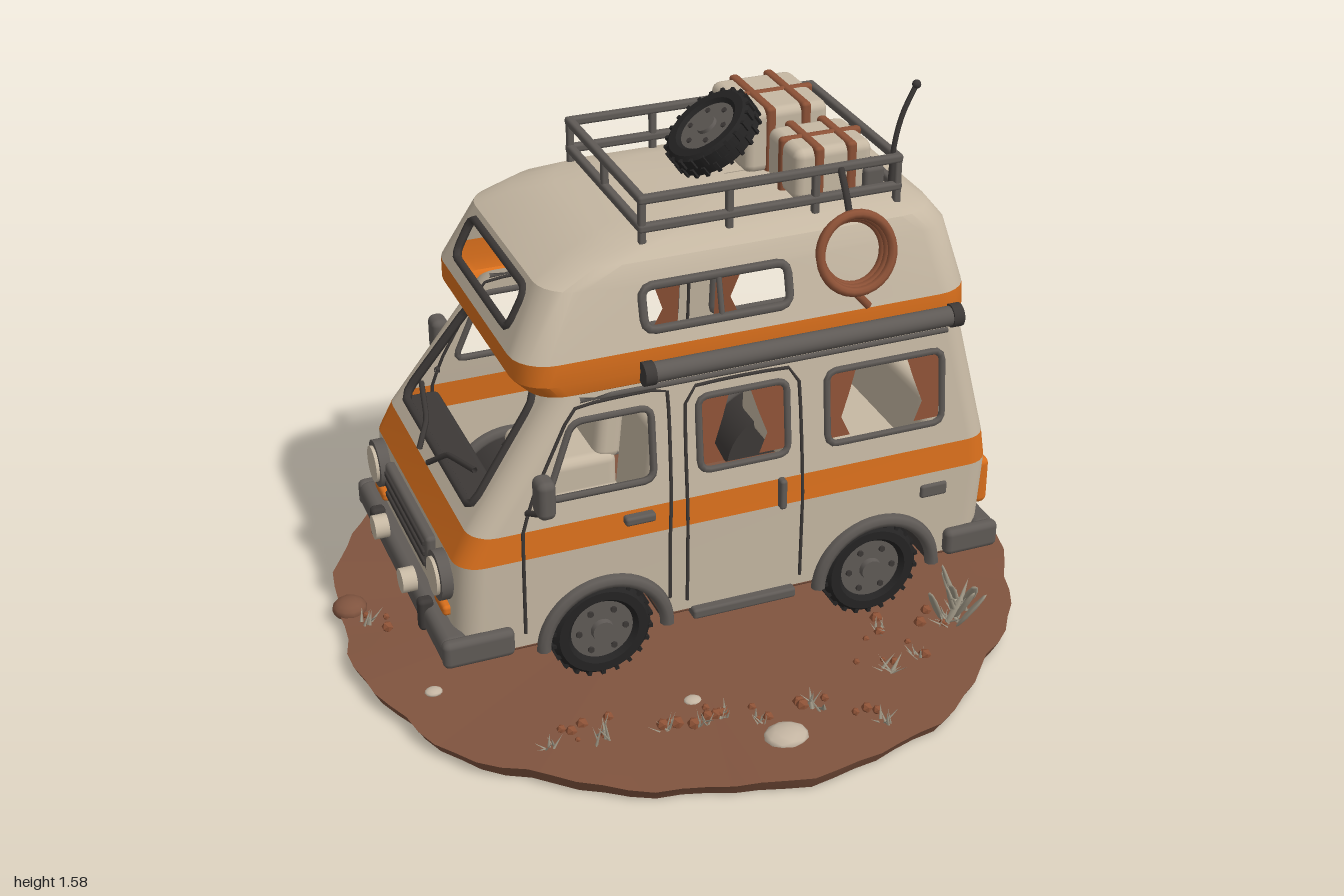
import * as THREE from 'three';
import { mergeGeometries, mergeVertices, toCreasedNormals } from 'three/addons/utils/BufferGeometryUtils.js';
import { RoundedBoxGeometry } from 'three/addons/geometries/RoundedBoxGeometry.js';

const mat = (name, color) => new THREE.MeshStandardMaterial({ name, color, side: THREE.DoubleSide });
const cream = mat('cream paint', 0xc6b8a3), orange = mat('orange paint', 0xd96f1c), trim = mat('grey trim', 0x5f5a56),
  rubber = mat('black rubber', 0x242323), soil = mat('soil', 0x80543f), leather = mat('brown cloth', 0x8c5136),
  plant = mat('dry plant', 0xa39b89), stone = mat('pale stone', 0xc4b5a2), dark = mat('dark metal', 0x3d3937);
const V = (x, y, z) => new THREE.Vector3(x, y, z);
let seed = 7;
const rnd = () => (seed = (seed * 16807) % 2147483647) / 2147483647;

// Plan outline by height: [y, frontX, backX, halfWidth, cornerRadius]
const BODY = [[.22, -.76, .77, .415, .07], [.49, -.748, .785, .42, .07], [.57, -.708, .775, .415, .07], [.92, -.455, .7, .378, .07]];
const ROOF = [[.92, -.455, .7, .378, .07], [.925, -.52, .705, .385, .09], [.96, -.555, .712, .392, .1], [1.02, -.556, .71, .388, .1],
  [1.19, -.47, .668, .343, .1], [1.235, -.38, .635, .325, .12], [1.262, -.27, .585, .285, .13], [1.277, -.12, .51, .21, .13],
  [1.282, .15, .25, .002, .001]];

function place(P, face, u, y, off = 0) {
  let i = 0;
  while (i < P.length - 2 && y > P[i + 1][0]) i++;
  const t = (y - P[i][0]) / (P[i + 1][0] - P[i][0]);
  const [, f, b, w] = P[i].map((v, k) => v + (P[i + 1][k] - v) * t);
  return { left: V(u, y, w + off), right: V(u, y, -w - off), front: V(f - off, y, u), back: V(b + off, y, u) }[face];
}
function bare(points, index) {
  const g = new THREE.BufferGeometry().setFromPoints(points);
  g.setIndex(index);
  return g;
}
// Flat outline with holes laid onto one face of the shell
function panel(P, face, outline, holes = [], off = 0) {
  const toV2 = a => a.map(p => new THREE.Vector2(p[0], p[1]));
  const s = new THREE.Shape(toV2(outline));
  holes.forEach(h => s.holes.push(new THREE.Path(toV2(h))));
  const g = new THREE.ShapeGeometry(s), a = g.attributes.position, idx = [...g.index.array];
  if (face === 'right' || face === 'back') idx.reverse();
  return bare(Array.from({ length: a.count }, (_, i) => place(P, face, a.getX(i), a.getY(i), off)), idx);
}
// One belt of the shell: four panels and four rounded corners
function band(P, i, holes = {}, arches = []) {
  const [y0, f0, b0, w0, r0] = P[i], [y1, f1, b1, w1, r1] = P[i + 1], out = [], Q = [P[i], P[i + 1]];
  for (const face of ['left', 'right'])
    out.push(panel(Q, face, [[f0 + r0, y0], ...arches, [b0 - r0, y0], [b1 - r1, y1], [f1 + r1, y1]], holes.side));
  for (const face of ['front', 'back'])
    out.push(panel(Q, face, [[r0 - w0, y0], [w0 - r0, y0], [w1 - r1, y1], [r1 - w1, y1]], holes[face]));
  for (const sx of [1, -1]) for (const sz of [1, -1]) {
    const pts = [], idx = [], n = 6, start = sx > 0 ? (sz > 0 ? 0 : 1.5) : (sz > 0 ? .5 : 1);
    for (let k = 0; k <= n; k++) {
      const a = (start + k / n / 2) * Math.PI;
      for (const [y, f, b, w, r] of Q)
        pts.push(V((sx > 0 ? b - r : f + r) + r * Math.cos(a), y, sz * (w - r) + r * Math.sin(a)));
      if (k < n) idx.push(2 * k, 2 * k + 1, 2 * k + 2, 2 * k + 2, 2 * k + 1, 2 * k + 3);
    }
    out.push(bare(pts, idx));
  }
  return out;
}
const smooth = list => toCreasedNormals(mergeVertices(mergeGeometries(list), 1e-4), .5);
// Polygon with rounded corners
function round(pts, r = .03) {
  return pts.flatMap((p, i) => {
    const c = new THREE.Vector2(...p);
    const toward = q => c.clone().add(new THREE.Vector2(...q).sub(c).setLength(r));
    const prev = pts[(i + pts.length - 1) % pts.length], next = pts[(i + 1) % pts.length];
    return new THREE.QuadraticBezierCurve(toward(prev), c, toward(next)).getPoints(4).map(v => [v.x, v.y]);
  });
}
const rect = (x0, x1, y0, y1) => [[x0, y0], [x1, y0], [x1, y1], [x0, y1]];

export function createModel() {
  const root = new THREE.Group();
  const add = (name, geo, m, x = 0, y = 0, z = 0, parent = root) => {
    const o = new THREE.Mesh(geo, m);
    o.name = name;
    o.position.set(x, y, z);
    parent.add(o);
    return o;
  };
  const box = (name, m, x0, x1, y0, y1, z0, z1, r = .012, parent = root) => add(name,
    new RoundedBoxGeometry(x1 - x0, y1 - y0, z1 - z0, 2, r), m, (x0 + x1) / 2, (y0 + y1) / 2, (z0 + z1) / 2, parent);
  const tube = (name, m, pts, r, closed = false, tension = .1) => add(name, new THREE.TubeGeometry(
    new THREE.CatmullRomCurve3(pts, closed, 'catmullrom', tension), Math.max(12, pts.length * 3), r, 6, closed), m);
  const cylX = (name, m, r, len, x, y, z) => add(name, new THREE.CylinderGeometry(r, r, len, 24), m, x, y, z).rotateZ(Math.PI / 2);

  // Shell with wheel arches and open windows
  const wheelX = [-.353, .44], arches = [];
  for (const cx of wheelX) for (let k = 0; k <= 14; k++) {
    const a = Math.PI - .183 - k / 14 * (Math.PI - .366);
    arches.push([cx + .165 * Math.cos(a), k % 14 ? .19 + .165 * Math.sin(a) : .2201]);
  }
  const cab = round([[-.505, .645], [-.21, .645], [-.21, .85], [-.425, .85]]);
  const mid = round(rect(-.08, .17, .64, .85)), rear = round(rect(.285, .625, .64, .85));
  const shield = round([[-.32, .61], [.32, .61], [.28, .885], [-.28, .885]], .04), tail = round(rect(-.125, .125, .64, .84));
  const loft = round(rect(-.22, .18, 1.065, 1.175)), loftFront = round(rect(-.23, .23, 1.06, 1.165));
  add('body', smooth([...band(BODY, 0, {}, arches), ...band(BODY, 2, { side: [cab, mid, rear], front: [shield], back: [tail] })]), cream);
  add('beltStripe', smooth(band(BODY, 1)), orange);
  add('roofStripe', smooth([0, 1, 2].flatMap(i => band(ROOF, i))), orange);
  add('highRoof', smooth([3, 4, 5, 6, 7].flatMap(i => band(ROOF, i, i === 3 ? { side: [loft], front: [loftFront] } : {}))), cream);

  // Window frames, seams and curtains follow the shell
  const line = (name, P, face, pts, r, closed, m = trim) => tube(name, m, pts.map(p => place(P, face, p[0], p[1])), r, closed);
  line('windshieldFrame', BODY, 'front', shield, .013, true, dark);
  line('rearWindowFrame', BODY, 'back', tail, .011, true, dark);
  line('roofFrontFrame', ROOF, 'front', loftFront, .012, true, dark);
  for (const face of ['left', 'right']) {
    [cab, mid, rear].forEach(w => line('windowFrame', BODY, face, w, .01, true));
    line('roofWindowFrame', ROOF, face, loft, .012, true);
    line('roofWindowPost', ROOF, face, [[-.01, 1.065], [-.01, 1.175]], .008);
    line('cabDoorSeam', BODY, face, [[-.575, .26], [-.575, .49], [-.572, .57], [-.54, .66], [-.43, .87], [-.4, .89], [-.165, .89],
      [-.165, .57], [-.17, .49], [-.17, .27]], .005, false, dark);
    line('sideDoorSeam', BODY, face, [[-.12, .25], [-.12, .49], [-.12, .57], [-.11, .88], [.2, .88], [.21, .57], [.21, .49], [.21, .25]], .005, false, dark);
    line('gutter', BODY, face, [[-.4, .905], [.64, .905]], .008);
    for (const [x0, x1] of [[-.08, .17], [.285, .625]]) for (const s of [1, -1]) {
      const e = s > 0 ? x0 : x1;
      add('curtain', panel(BODY, face, [[e, .645], [e + s * .075, .645], [e + s * .05, .7], [e + s * .075, .77], [e + s * .1, .85], [e, .85]], [], -.02), leather)
        .geometry.computeVertexNormals();
    }
  }

  // Wheels, shared by the spare
  const tyreGeo = new THREE.LatheGeometry([[.088, -.045], [.1, -.06], [.125, -.06], [.138, -.045], [.138, .045], [.125, .06], [.1, .06], [.088, .045]]
    .map(p => new THREE.Vector2(...p)), 36);
  const treadGeo = mergeGeometries(Array.from({ length: 44 }, (_, i) =>
    new THREE.BoxGeometry(.012, .05, .011).translate(.138, i % 2 ? .028 : -.028, 0).rotateY(i / 44 * Math.PI * 2)));
  const wheel = name => {
    const g = new THREE.Group();
    g.name = name;
    add('tyre', toCreasedNormals(tyreGeo, .6), rubber, 0, 0, 0, g);
    add('tread', treadGeo, rubber, 0, 0, 0, g);
    add('rim', new THREE.CylinderGeometry(.09, .09, .09, 32), trim, 0, 0, 0, g);
    add('hub', new THREE.CylinderGeometry(.03, .045, .122, 20), trim, 0, 0, 0, g);
    for (let i = 0; i < 6; i++) add('bolt', new THREE.CylinderGeometry(.009, .009, .105, 6), dark, .066 * Math.cos(i * 1.047), 0, .066 * Math.sin(i * 1.047), g);
    root.add(g);
    return g;
  };
  for (const x of wheelX) for (const s of [1, -1]) {
    const w = wheel('wheel');
    w.position.set(x, .195, s * .34);
    w.rotation.x = s * Math.PI / 2;
    add('fender', new THREE.TorusGeometry(.174, .02, 8, 24, Math.PI), trim, x, .195, s * .418);
    add('wheelWell', new THREE.CylinderGeometry(.166, .166, .17, 20, 1, true, -Math.PI / 2, Math.PI), dark, x, .195, s * .335).rotation.x = -Math.PI / 2;
    add('wellWall', new THREE.CircleGeometry(.166, 20, 0, Math.PI), dark, x, .195, s * .25);
  }

  // Underside, bumpers and steps
  box('chassis', soil, -.72, .74, .165, .225, -.25, .25);
  for (const [a, b] of [[-.74, -.52], [-.19, .27], [.61, .75]]) box('floor', soil, a, b, .2, .228, -.405, .405);
  for (const [end, a, b] of [['front', -.805, -.73], ['rear', .735, .808]]) {
    box(end + 'Bumper', trim, a, b, .215, .295, -.43, .43, .025);
    for (const s of [1, -1]) box(end + 'BumperWrap', trim, end === 'front' ? a : .645, end === 'front' ? -.61 : b, .215, .295, s * .425 - .02, s * .425 + .02, .018);
    for (const z of [-.24, .24]) box(end + 'BumperGuard', dark, end === 'front' ? a - .012 : b - .02, end === 'front' ? a + .03 : b + .012, .22, .315, z - .018, z + .018);
  }

  // Side fittings
  for (const s of [1, -1]) {
    const side = (name, m, x0, x1, y0, y1, d0, d1, r = .008) => box(name, m, x0, x1, y0, y1, Math.min(s * d0, s * d1), Math.max(s * d0, s * d1), r);
    side('step', trim, -.11, .19, .195, .225, .36, .44);
    side('cabHandle', trim, -.3, -.215, .535, .56, .41, .44);
    side('sideDoorHandle', trim, .138, .158, .485, .575, .41, .44);
    side('airVent', trim, .565, .645, .415, .455, .41, .428);
    side('mirror', trim, -.555, -.505, .645, .755, .435, .505, .02);
    tube('mirrorArm', dark, [V(-.56, .62, s * .4), V(-.54, .64, s * .45), V(-.53, .69, s * .46)], .009);
    cylX('awningRoll', trim, .027, .86, .21, .96, s * .405);
    for (const x of [-.225, .645]) cylX('awningCap', dark, .032, .03, x, .96, s * .405);
    box('tailLight', orange, .755, .802, .325, .47, s * .318 - .066, s * .318 + .066, .02);
    cylX('headlightRing', trim, .068, .05, -.755, .42, s * .3);
    cylX('headlight', cream, .052, .06, -.759, .42, s * .3);
    cylX('fogLight', cream, .034, .04, -.815, .315, s * .14);
    box('turnSignal', orange, -.775, -.74, .315, .345, s * .3 - .045, s * .3 + .045, .01);
    tube('wiper', dark, [V(-.715, .6, s * .04), V(-.675, .65, s * .1), V(-.645, .68, s * .25)], .008);
  }
  // Front and rear details
  box('grille', trim, -.775, -.74, .36, .475, -.21, .21);
  for (let i = 0; i < 3; i++) box('grilleBar', dark, -.782, -.77, .378 + i * .032, .394 + i * .032, -.19, .19, .004);
  cylX('tailLock', trim, .026, .03, .785, .43, 0);
  box('tailHandle', trim, .775, .8, .37, .45, .1, .118, .006);
  box('plateHolder', dark, .775, .792, .31, .37, -.1, .1, .006);

  // Cabin furniture
  for (const s of [1, -1]) {
    box('frontSeat', cream, -.4, -.14, .3, .45, s * .19 - .13, s * .19 + .13, .03);
    box('seatBack', cream, -.19, -.11, .42, .74, s * .19 - .12, s * .19 + .12, .03).rotation.z = -.1;
  }
  box('rearBench', cream, .36, .64, .3, .5, -.36, .36, .03);
  box('benchBack', cream, .6, .68, .45, .7, -.34, .34, .03);
  box('dashboard', dark, -.68, -.57, .46, .59, -.36, .36, .02);
  add('steeringWheel', new THREE.TorusGeometry(.075, .01, 8, 24), dark, -.5, .62, .19).rotation.set(0, Math.PI / 2, .5, 'ZYX');

  // Roof rack
  for (const y of [1.3, 1.378]) {
    for (const z of [-.272, .272]) box('rackRail', trim, -.2, .535, y - .012, y + .012, z - .012, z + .012, .008);
    for (const x of [-.188, .523]) box('rackRail', trim, x - .012, x + .012, y - .012, y + .012, -.272, .272, .008);
  }
  for (const z of [-.272, 0, .272]) for (const x of [-.188, .05, .29, .523])
    if (z || x < -.1 || x > .5) box('rackPost', trim, x - .01, x + .01, z ? 1.235 : 1.3, 1.38, z - .01, z + .01, .006);
  const spare = wheel('spareWheel');
  spare.position.set(.115, 1.405, 0);
  spare.rotation.z = .62;
  spare.scale.set(.92, .6, .92);

  // Luggage with straps
  for (const [x0, x1, y1, z0, z1] of [[.2, .44, 1.455, -.23, .025], [.25, .47, 1.42, .045, .235]]) {
    box('luggage', cream, x0, x1, 1.275, y1, z0, z1, .025);
    for (const t of [.3, .72]) {
      const x = x0 + (x1 - x0) * t;
      box('strap', leather, x - .014, x + .014, 1.27, y1 + .006, z0 - .006, z1 + .006, .01);
    }
    box('strap', leather, x0 - .006, x1 + .006, 1.27, y1 + .005, (z0 + z1) / 2 - .012, (z0 + z1) / 2 + .012, .01);
  }
  box('smallBox', trim, .44, .5, 1.27, 1.35, .17, .25);
  tube('antenna', dark, [V(.51, 1.3, .26), V(.515, 1.4, .26), V(.535, 1.49, .26), V(.572, 1.57, .26)], .007, false, .5);
  add('antennaTip', new THREE.SphereGeometry(.012, 10, 8), dark, .572, 1.57, .26);
  // Rope coil hung on the side
  for (let i = 0; i < 3; i++) add('ropeCoil', new THREE.TorusGeometry(.09 + i * .006, .013, 8, 32), leather, .355, 1.18 + i * .004, .365 + i * .014).rotation.x = -.25;
  tube('ropeTail', leather, [V(.33, 1.1, .39), V(.36, 1.07, .41), V(.385, 1.04, .41)], .012);
  tube('ropeHook', dark, [V(.355, 1.38, .28), V(.355, 1.32, .32), V(.355, 1.26, .35)], .01);

  // Ragged soil disc
  const disc = new THREE.CylinderGeometry(.972, .95, .04, 90, 2), p = disc.attributes.position;
  for (let i = 0; i < p.count; i++) {
    const x = p.getX(i), z = p.getZ(i), a = Math.atan2(z, x), k = 1 + .012 * Math.sin(5 * a + 1) + .01 * Math.sin(13 * a) + .006 * Math.sin(29 * a);
    const onEdge = Math.hypot(x, z) > .1;
    p.setXYZ(i, x * k, p.getY(i) + .02 + (p.getY(i) > .01 ? (onEdge ? .004 * Math.sin(9 * a) : .022) : 0), z * k);
  }
  add('ground', toCreasedNormals(disc, .5), soil);

  // Grass tufts, leafy plants and stones
  const leaves = [], pebbles = [];
  const tuft = (x, z, h, n, fat) => {
    for (let i = 0; i < n; i++) {
      const len = h * (.6 + .4 * rnd()), g = fat ? new THREE.SphereGeometry(.5, 6, 5) : new THREE.ConeGeometry(.5, 1, 4);
      leaves.push(g.translate(0, .5, 0).scale(len * .24, len, len * .1).rotateX(.15 + rnd() * (fat ? .5 : .95)).rotateY(rnd() * 6.28)
        .translate(x + (rnd() - .5) * h * .5, .04, z + (rnd() - .5) * h * .5));
    }
  };
  for (const [x, z] of [[.64, .5], [-.6, -.6], [.7, .45], [-.44, -.73]]) { tuft(x, z, .16, 5, true); tuft(x, z, .09, 9); }
  for (let i = 0; i < 44; i++) {
    const a = i * 2.4, r = .6 + .3 * rnd(), x = r * Math.cos(a), z = r * Math.sin(a);
    if (Math.abs(z) < .46 && Math.abs(x) < .83) continue;
    tuft(x, z, .05 + .04 * rnd(), 7);
    for (let k = 0; k < 3; k++) pebbles.push(new THREE.IcosahedronGeometry(.008 + .012 * rnd(), 0).translate(x * .95 + rnd() * .1 - .05, .05, z * .95 + rnd() * .1 - .05));
  }
  add('plants', mergeGeometries(leaves), plant);
  add('pebbles', mergeGeometries(pebbles), leather);
  for (const [x, z, r] of [[-.11, -.79, .1], [0, .81, .062], [-.8, .29, .025], [-.27, -.48, .025], [-.17, .58, .025]])
    add('rock', new THREE.IcosahedronGeometry(r, 1).scale(1, .4, .85), stone, x, .045, z);
  add('mound', new THREE.SphereGeometry(.05, 12, 8).scale(1, .6, 1), soil, -.91, .04, -.18);
  return root;
}
